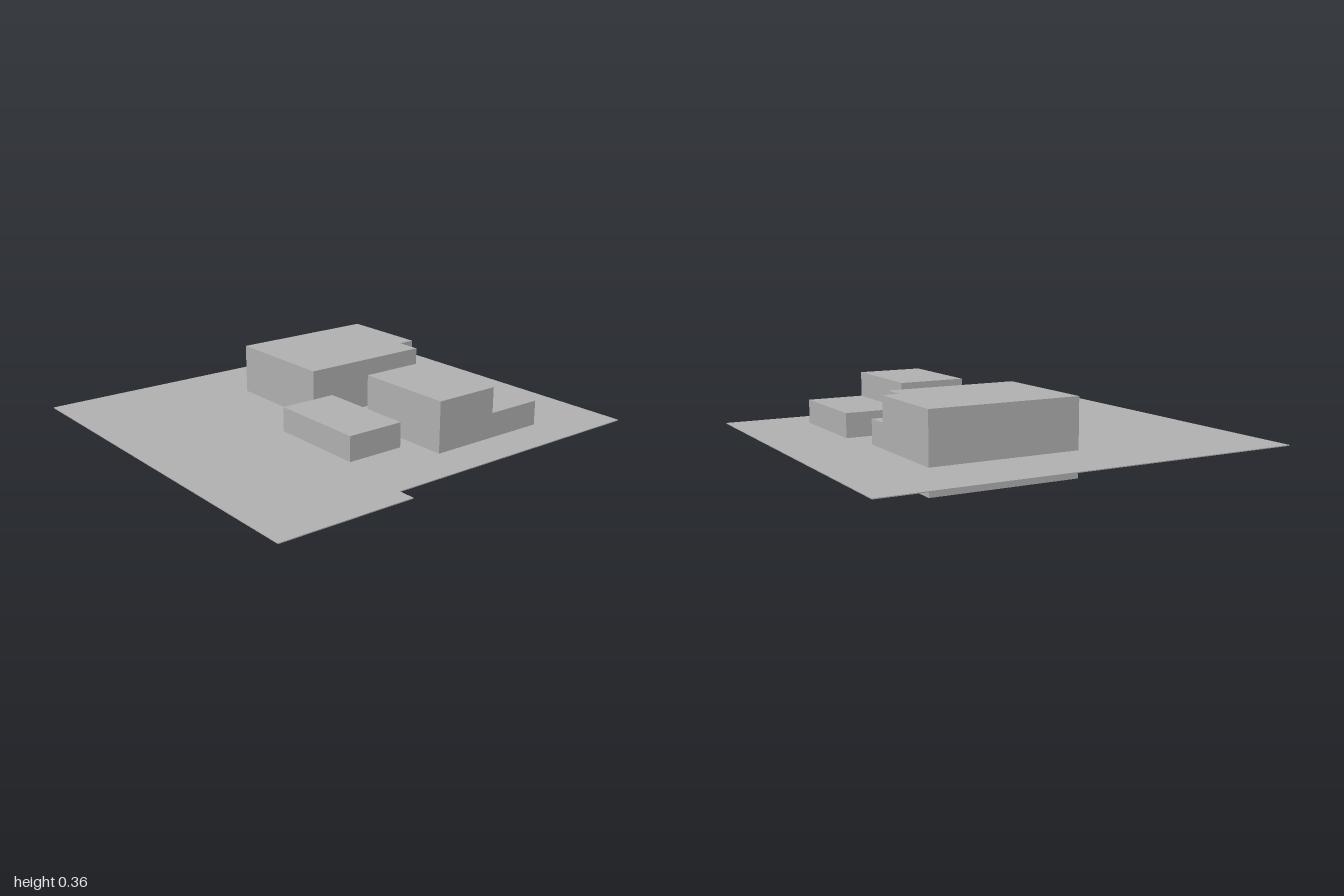
import * as THREE from 'three';

const grey = new THREE.MeshStandardMaterial({ color: 0xb0b0b0 });
grey.name = 'plain grey';

// Prism from a plan outline of [x, z] points, standing between two heights
function planPrism(name, points, y0, y1) {
  const shape = new THREE.Shape(points.map(([x, z]) => new THREE.Vector2(x, -z)));
  const geometry = new THREE.ExtrudeGeometry(shape, { depth: y1 - y0, bevelEnabled: false });
  geometry.rotateX(-Math.PI / 2).translate(0, y0, 0);
  const mesh = new THREE.Mesh(geometry, grey);
  mesh.name = name;
  return mesh;
}

// Box given by its limits along each axis
function block(name, [x0, x1], [y0, y1], [z0, z1]) {
  const mesh = new THREE.Mesh(new THREE.BoxGeometry(x1 - x0, y1 - y0, z1 - z0), grey);
  mesh.position.set((x0 + x1) / 2, (y0 + y1) / 2, (z0 + z1) / 2);
  mesh.name = name;
  return mesh;
}

export function createModel() {
  const model = new THREE.Group();
  model.name = 'siteModel';
  const ground = 0.12, low = 0.24, high = 0.36;

  // Thin ground sheet with a shallow step in its left edge
  model.add(planPrism('groundPlate', [
    [-0.94, 1], [0.94, 1], [0.94, 0.36], [0.86, 0.36], [0.86, -1], [-0.94, -1],
  ], ground, ground + 0.004));

  // Main building with basement, its rear corner cut out except at ground floor
  const main = new THREE.Group();
  main.name = 'mainBuilding';
  main.add(planPrism('mainBody', [
    [-0.58, 0.12], [-0.02, 0.12], [-0.02, -0.52], [-0.14, -0.52], [-0.14, -0.6], [-0.58, -0.6],
  ], 0, high));
  main.add(block('cornerInfill', [-0.14, -0.02], [ground, low], [-0.6, -0.52]));
  model.add(main);

  // Stepped building: tall at the front, low at the back
  const stepped = new THREE.Group();
  stepped.name = 'steppedBuilding';
  stepped.add(block('tallWing', [0.18, 0.66], [ground, high], [-0.36, -0.04]));
  stepped.add(block('lowWing', [0.18, 0.66], [ground, low], [-0.64, -0.36]));
  model.add(stepped);

  // Low building at the front
  model.add(block('lowBuilding', [0.02, 0.5], [ground, low], [0.04, 0.32]));

  return model;
}
